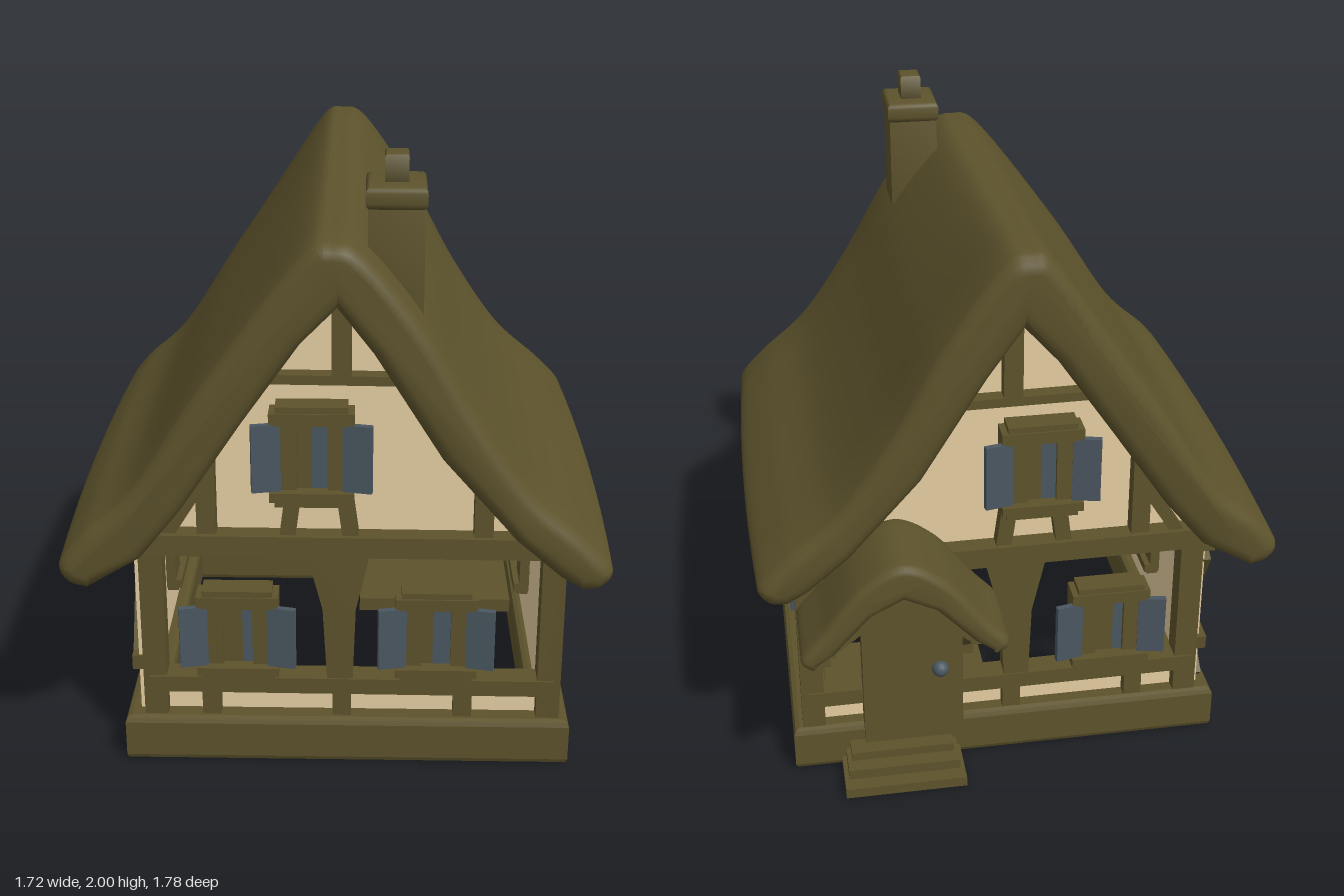
import * as THREE from 'three';
import { toCreasedNormals } from 'three/addons/utils/BufferGeometryUtils.js';

const mat = (name, color, side = THREE.FrontSide) => {
  const m = new THREE.MeshStandardMaterial({ color, side });
  m.name = name;
  return m;
};
const V = (x, y, z = 0) => new THREE.Vector3(x, y, z);
const P = (pts) => pts.map(([x, y]) => new THREE.Vector2(x, y));
const rect = (x0, y0, x1, y1) => P([[x0, y0], [x1, y0], [x1, y1], [x0, y1]]);

export function createModel() {
  const olive = mat('olive timber and thatch', 0x5d532c);
  const plaster = mat('cream plaster', 0xfae0b0, THREE.DoubleSide);
  const slate = mat('slate blue', 0x4b5761, THREE.DoubleSide);
  const house = new THREE.Group();
  house.name = 'cottage';

  const add = (parent, name, geo, m, x = 0, y = 0, z = 0) => {
    const mesh = new THREE.Mesh(geo, m);
    mesh.name = name;
    mesh.position.set(x, y, z);
    parent.add(mesh);
    return mesh;
  };
  const box = (parent, name, m, w, h, d, x, y, z) =>
    add(parent, name, new THREE.BoxGeometry(w, h, d), m, x, y, z);
  // Timber running from point a to point b
  const beam = (parent, name, a, b, w = 0.05, d = 0.06) => {
    const dir = b.clone().sub(a);
    const mesh = box(parent, name, olive, w, dir.length(), d, 0, 0, 0);
    mesh.position.copy(a).add(b).multiplyScalar(0.5);
    mesh.quaternion.setFromUnitVectors(V(0, 1, 0), dir.normalize());
    return mesh;
  };
  const group = (name, x, z, turn) => {
    const g = new THREE.Group();
    g.name = name;
    g.position.set(x, 0, z);
    g.rotation.y = turn;
    house.add(g);
    return g;
  };
  // Thick roof: an outline swept along z with rounded ends
  const roof = (name, outer, inner, z0, z1, bevel, rule) => {
    const s = new THREE.Shape();
    s.moveTo(...outer[0]);
    s.splineThru(P(outer.slice(1)));
    s.lineTo(...inner[0]);
    for (const p of inner.slice(1)) s.lineTo(...p);
    s.closePath();
    const geo = new THREE.ExtrudeGeometry(s, {
      depth: z1 - z0 - 2 * bevel, steps: 8, curveSegments: 28,
      bevelThickness: bevel, bevelSize: bevel, bevelOffset: -bevel, bevelSegments: 3,
    });
    geo.translate(0, 0, z0 + bevel);
    const p = geo.attributes.position;
    if (rule) for (let i = 0; i < p.count; i++) p.setXYZ(i, ...rule(p.getX(i), p.getY(i), p.getZ(i)));
    return add(house, name, toCreasedNormals(geo, 0.8), olive);
  };
  // Window facing +z; slateShare is how much of the pane, from its right, is slate
  const windowUnit = (parent, x, y, z, w, h, shutterW, slateShare) => {
    const g = new THREE.Group();
    g.name = 'window';
    g.position.set(x, y, z);
    parent.add(g);
    const side = w * 0.32, pane = w - 2 * side, lit = pane * slateShare;
    box(g, 'pane', slate, lit, h, 0.008, (pane - lit) / 2, 0, 0.015);
    if (lit < pane) box(g, 'darkPane', olive, pane - lit, h, 0.008, -lit / 2, 0, 0.015);
    for (const s of [-1, 1]) {
      box(g, 'jamb', olive, side, h + 0.02, 0.07, s * (w - side) / 2, 0, 0);
      const sh = box(g, 'shutter', slate, shutterW, h - 0.02, 0.02, s * (w / 2 + 0.01), 0, 0.045);
      sh.rotation.y = -s * 0.2;
    }
    box(g, 'lintel', olive, w, 0.04, 0.09, 0, h / 2 + 0.005, 0.005);
    box(g, 'lintelCap', olive, w * 0.85, 0.02, 0.08, 0, h / 2 + 0.035, 0.005);
    box(g, 'sill', olive, w, 0.03, 0.12, 0, -h / 2 - 0.005, 0.005);
    box(g, 'sillFoot', olive, w * 0.88, 0.025, 0.09, 0, -h / 2 - 0.03, 0.005);
  };

  // Stone footing, an open ring
  const ring = new THREE.Shape(rect(-0.66, -0.74, 0.735, 0.6));
  ring.holes.push(new THREE.Path(rect(-0.58, -0.65, 0.65, 0.5)));
  const footing = new THREE.ExtrudeGeometry(ring, {
    depth: 0.12, bevelThickness: 0.02, bevelSize: 0.02, bevelSegments: 2 });
  footing.rotateX(-Math.PI / 2).translate(0, 0.02, 0);
  add(house, 'footing', footing, olive);

  // Corner posts and ceiling
  for (const x of [-0.58, 0.685]) for (const z of [0.695, -0.565])
    box(house, 'cornerPost', olive, 0.075, 0.6, 0.075, x, 0.46, z);
  box(house, 'ceiling', olive, 1.22, 0.02, 1.2, 0.04, 0.76, 0.065);

  // Gable walls; m mirrors x so that the back matches the front
  const gable = (name, z, turn, m) => {
    const g = group(name, 0, z, turn);
    const b = (n, x0, y0, x1, y1, w, d) => beam(g, n, V(m * x0, y0), V(m * x1, y1), w, d);
    const tri = P([[-0.62, 0.76], [0.7, 0.76], [0.34, 1.18], [0.02, 1.64], [-0.32, 1.22]]);
    for (const p of tri) p.x *= m;
    add(g, 'gablePlaster', new THREE.ShapeGeometry(new THREE.Shape(tri)), plaster, 0, 0, -0.02);
    box(g, 'lowerPlaster', plaster, 1.22, 0.11, 0.02, m * 0.045, 0.21, -0.02);
    b('tieBeam', -0.61, 0.775, 0.7, 0.77, 0.07, 0.09);
    b('collarBeam', -0.24, 1.325, 0.25, 1.32, 0.03);
    b('kingPost', 0.02, 1.32, 0.02, 1.64, 0.06);
    b('gableStud', -0.4, 0.78, -0.4, 1.08, 0.06);
    b('gableStud', 0.46, 0.78, 0.46, 1.04, 0.06);
    b('gableBrace', -0.54, 0.78, -0.42, 0.97, 0.04);
    b('gableBrace', 0.47, 0.96, 0.58, 0.8, 0.04);
    b('windowStud', -0.15, 0.79, -0.13, 0.94, 0.05);
    b('windowStud', 0.05, 0.79, 0.03, 0.94, 0.05);
    b('rail', -0.6, 0.275, 0.7, 0.27, 0.055, 0.08);
    for (const x of [-0.4, 0.02, 0.41]) b('footStud', x, 0.15, x, 0.27, 0.06);
    const flare = new THREE.Shape(P([[-0.035, 0.27], [0.045, 0.27], [0.055, 0.55], [0.1, 0.75],
      [-0.1, 0.75], [-0.05, 0.55]]));
    add(g, 'middlePost', new THREE.ExtrudeGeometry(flare, { depth: 0.07, bevelEnabled: false }),
      olive, m * 0.01, 0, -0.035);
    windowUnit(g, m * -0.07, 1.08, 0.01, 0.26, 0.24, 0.09, 0.5);
    windowUnit(g, m * -0.31, 0.455, 0, 0.26, 0.23, 0.09, 0.35);
    return g;
  };
  const front = gable('frontWall', 0.7, 0, 1);
  windowUnit(front, 0.32, 0.455, 0, 0.26, 0.23, 0.09, 0.6);
  gable('backWall', -0.57, Math.PI, -1);

  // Side walls; m turns z into the wall's own sideways direction
  const sideWall = (name, x, turn, m) => {
    const g = group(name, x, 0, turn);
    const b = (n, z0, y0, z1, y1, w = 0.045) => beam(g, n, V(m * z0, y0), V(m * z1, y1), w, 0.05);
    const c = m * 0.035, mid = m * 0.065;
    const panel = new THREE.Shape(rect(mid - 0.63, 0.14, mid + 0.63, 0.76));
    panel.holes.push(new THREE.Path(rect(c - 0.12, 0.36, c + 0.12, 0.61)));
    add(g, 'sidePlaster', new THREE.ExtrudeGeometry(panel, { depth: 0.03, bevelEnabled: false }),
      plaster, 0, 0, -0.027);
    b('wallPlate', 0.72, 0.735, -0.6, 0.735, 0.04);
    b('post', 0.415, 0.15, 0.445, 0.74, 0.05);
    b('post', -0.335, 0.15, -0.365, 0.74, 0.05);
    b('rail', 0.7, 0.33, 0.42, 0.33, 0.05);
    b('rail', -0.34, 0.35, -0.58, 0.33, 0.05);
    b('brace', 0.65, 0.34, 0.46, 0.7);
    b('brace', -0.38, 0.36, -0.55, 0.67);
    b('lowerBrace', -0.37, 0.32, -0.54, 0.17, 0.035);
    b('lowerBrace', -0.54, 0.32, -0.4, 0.17, 0.035);
    windowUnit(g, c, 0.485, -0.025, 0.36, 0.25, 0.14, 1);
  };
  sideWall('rightWall', 0.69, Math.PI / 2, -1);
  sideWall('leftWall', -0.632, -Math.PI / 2, 1);

  // Thatched roof, its ridge rising towards the back
  roof('thatchedRoof',
    [[-0.77, 0.69], [-0.83, 0.71], [-0.855, 0.77], [-0.78, 0.87], [-0.62, 1.02], [-0.4, 1.35],
      [-0.11, 1.73], [0, 1.785], [0.1, 1.74], [0.27, 1.53], [0.43, 1.26], [0.6, 1.02], [0.77, 0.87],
      [0.86, 0.77], [0.83, 0.71], [0.77, 0.7]],
    [[0.7, 0.74], [0.56, 0.86], [0.33, 1.12], [0.12, 1.45], [0.01, 1.59],
      [-0.1, 1.48], [-0.28, 1.23], [-0.47, 0.95], [-0.6, 0.79]],
    -0.75, 0.89, 0.045, (x, y, z) => {
      const t = Math.max(0, (0.85 - z) / 1.57), h = Math.max(0, (y - 0.7) / 1.08);
      return [x * (1 - 0.04 * (z - 0.15) ** 2), y + 0.07 * h ** 5 * t ** 1.5 + 0.02 * t * (1 - h),
        z + 0.03 * t * (1 - h)];
    });

  // Chimney with rounded corners, a cap and a pot
  const block = (name, w, d, y0, y1, r) => {
    const a = w / 2 - r, c = d / 2 - r;
    const geo = new THREE.ExtrudeGeometry(new THREE.Shape(rect(-a, -c, a, c)), {
      depth: y1 - y0 - 2 * r, bevelThickness: r, bevelSize: r, bevelSegments: 3 });
    geo.rotateX(-Math.PI / 2).translate(0, y0 + r, 0);
    return add(house, name, toCreasedNormals(geo, 0.9), olive, 0.178, 0, 0.652);
  };
  block('chimneyStack', 0.165, 0.195, 1.46, 1.88, 0.02);
  block('chimneyCap', 0.178, 0.215, 1.85, 1.92, 0.02);
  block('chimneyPot', 0.07, 0.09, 1.9, 2.0, 0.008);

  // Porch over the back door
  roof('porchRoof',
    [[0.11, 0.59], [0.075, 0.63], [0.15, 0.72], [0.27, 0.87], [0.4, 0.94], [0.53, 0.87],
      [0.65, 0.72], [0.72, 0.63], [0.69, 0.59]],
    [[0.62, 0.64], [0.5, 0.77], [0.4, 0.82], [0.3, 0.77], [0.18, 0.64]], -0.885, -0.58, 0.025);
  for (const x of [0.17, 0.64]) {
    beam(house, 'porchBracket', V(x, 0.44, -0.58), V(x, 0.65, -0.79), 0.04, 0.04);
    beam(house, 'porchArm', V(x, 0.645, -0.56), V(x, 0.645, -0.86), 0.05, 0.045);
    beam(house, 'bracketPost', V(x, 0.4, -0.58), V(x, 0.7, -0.58), 0.04, 0.05);
    beam(house, 'porchRafter', V(x, 0.64, -0.84), V(0.4, 0.83, -0.84), 0.04, 0.04);
  }

  // Arched door with a round knob
  const arch = new THREE.Shape();
  arch.moveTo(0.19, 0.1).lineTo(0.52, 0.1).lineTo(0.52, 0.6);
  arch.absarc(0.355, 0.6, 0.165, 0, Math.PI).closePath();
  add(house, 'door', new THREE.ExtrudeGeometry(arch, { depth: 0.06, bevelEnabled: false }),
    olive, 0, 0, -0.64);
  add(house, 'doorKnob', new THREE.SphereGeometry(0.028, 14, 10), slate, 0.265, 0.38, -0.645);

  // Steps, with a floor slab behind the door
  [[0.1, -0.69], [0.07, -0.74], [0.035, -0.79]].forEach(([h, z], i) =>
    box(house, 'step', olive, 0.34 + i * 0.03, h, -0.5 - z, 0.4, h / 2, (z - 0.5) / 2));
  box(house, 'floorSlab', olive, 0.6, 0.05, 0.42, 0.37, 0.1, -0.32);
  return house;
}
